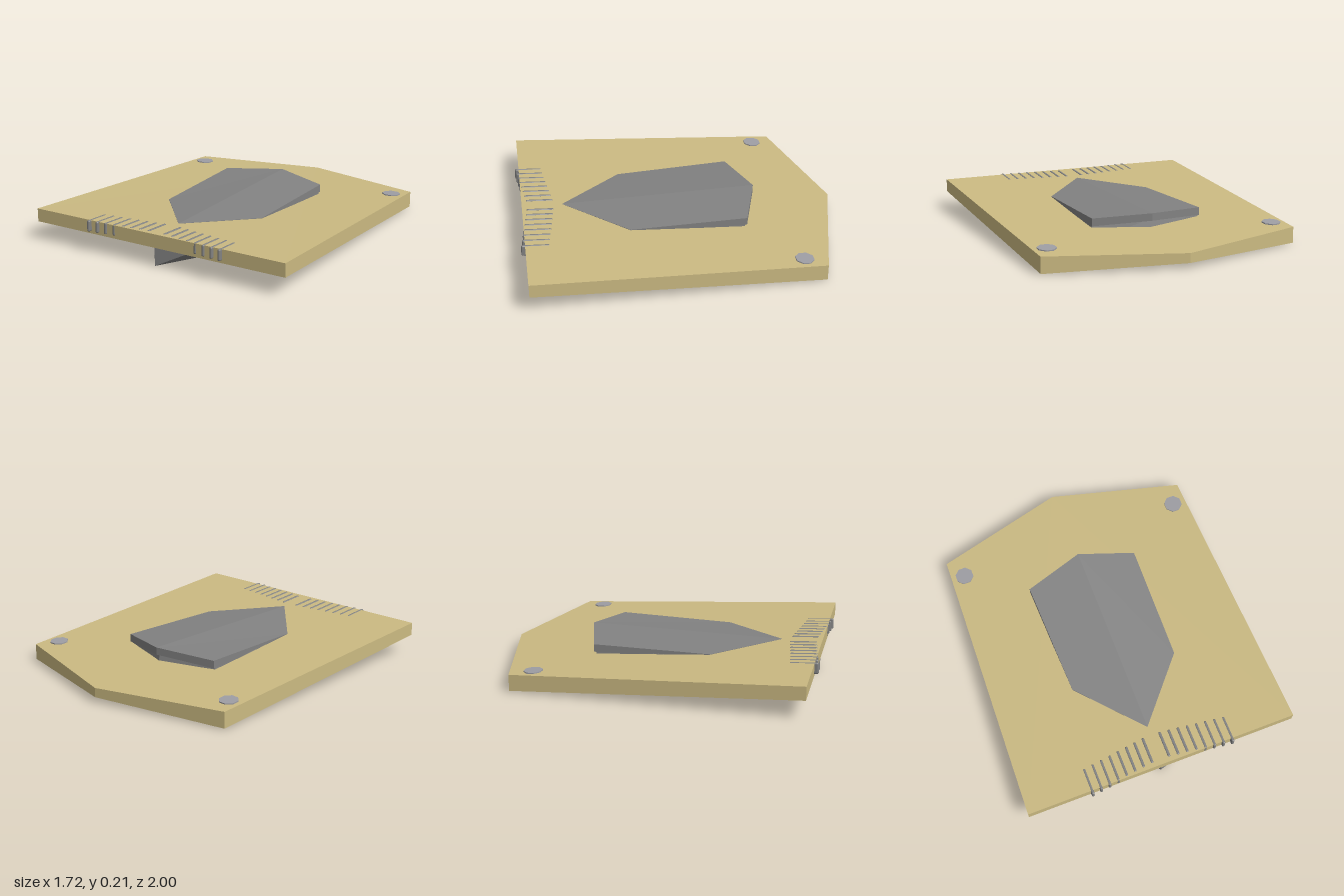
import * as THREE from 'three';
import { RoundedBoxGeometry } from 'three/addons/geometries/RoundedBoxGeometry.js';

const paint = (color) => new THREE.MeshStandardMaterial({ color, flatShading: true });

// Solid between a lower and an upper ring; caps fan out from the first (rear centre) point
function loft(lower, upper) {
  const n = lower.length, pos = [], index = [];
  [...lower, ...upper].forEach((p) => pos.push(...p));
  for (let i = 0; i < n; i++) {
    const j = (i + 1) % n;
    index.push(i, j, n + j, i, n + j, n + i);
    if (i > 0 && i < n - 1) index.push(0, i + 1, i, n, n + i, n + i + 1);
  }
  const geo = new THREE.BufferGeometry();
  geo.setAttribute('position', new THREE.Float32BufferAttribute(pos, 3));
  geo.setIndex(index);
  const flat = geo.toNonIndexed();
  flat.computeVertexNormals();
  return flat;
}

// Rear point, left-hand run of points, optional front point, then the mirrored run
function ring(rear, side, front) {
  const minus = side.map(([x, y, z]) => [-x - (z < 0 ? 0.025 : 0.01), y, z]);
  return [rear, ...minus, ...(front ? [front] : []), ...side.slice().reverse()];
}

export function createModel() {
  const group = new THREE.Group();
  const add = (name, geo, mat) => {
    const mesh = new THREE.Mesh(geo, mat);
    mesh.name = name;
    group.add(mesh);
    return mesh;
  };
  const sand = paint(0xcbba82), grey = paint(0x828282), steel = paint(0x9e9ea4);
  const tilt = -0.054;

  // Five-sided tilted board
  const boardRing = (rearY, cornerY, frontY) => [
    [0, rearY, -1], [-0.81, cornerY, -0.78], [-0.86, frontY, 0.97],
    [0.86, frontY, 0.97], [0.81, cornerY, -0.78],
  ];
  add('board', loft(boardRing(0.037, 0.01, 0.12), boardRing(0.095, 0.11, 0.202)), sand);

  // Keel below the board, with a raked prow
  add('keel', loft(
    ring([0, 0.048, -0.5], [[0.35, 0.045, -0.39], [0.345, 0.037, 0.48], [0.2, 0.022, 0.68]], [0, 0.005, 0.96]),
    ring([0, 0.172, -0.47], [[0.34, 0.168, -0.37], [0.33, 0.125, 0.76], [0.25, 0.13, 0.91]], [0, 0.13, 0.96]),
  ), grey);

  // Ridged deck plate that sinks into the board towards the front
  add('deckPlate', loft(
    ring([0, 0.165, -0.5], [[0.345, 0.14, -0.39], [0.335, 0.14, 0.33]], [0, 0.16, 0.72]),
    ring([0, 0.211, -0.5], [[0.345, 0.188, -0.39], [0.335, 0.17, 0.33]], [0, 0.189, 0.72]),
  ), grey);

  // Two octagonal studs near the rear corners
  for (const s of [1, -1]) {
    const stud = add(s > 0 ? 'leftStud' : 'rightStud',
      new THREE.CylinderGeometry(0.058, 0.058, 0.03, 8).rotateY(Math.PI / 8), steel);
    stud.position.set(s * 0.728, 0.108, -0.655);
    stud.rotation.x = tilt;
  }

  // Two sets of eight slim bars along the front edge, stepping forward outwards
  const bars = new THREE.Group();
  bars.name = 'frontBars';
  group.add(bars);
  const barGeo = new RoundedBoxGeometry(0.018, 0.068, 0.168, 2, 0.008);
  for (const s of [1, -1]) {
    for (let i = 0; i < 8; i++) {
      const bar = new THREE.Mesh(barGeo, grey);
      bar.name = 'bar';
      bar.position.set(s * (0.055 + i * 0.057), 0.167, 0.86 + i * 0.0072);
      bar.rotation.x = tilt;
      bars.add(bar);
    }
  }
  return group;
}
